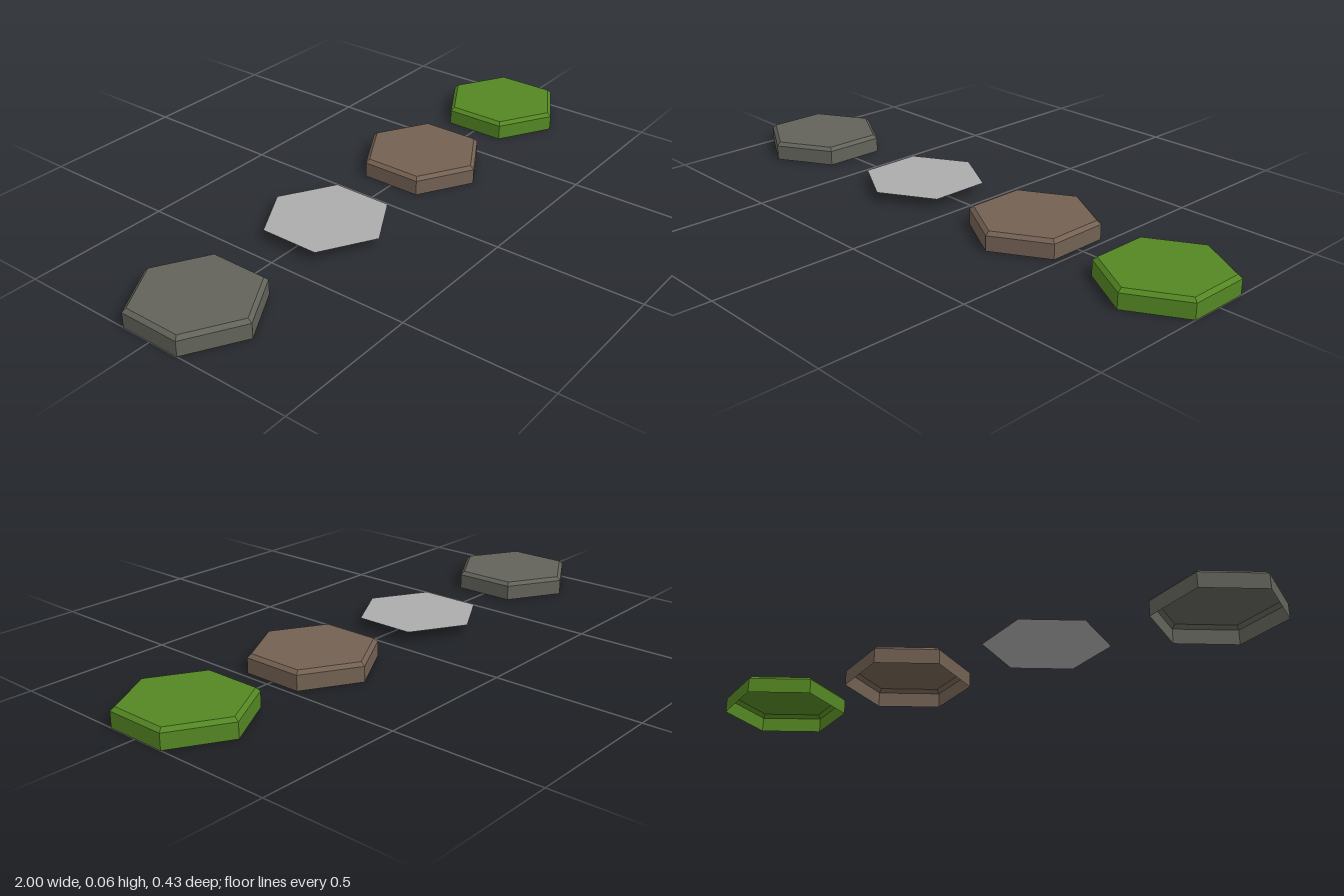
import * as THREE from 'three';

const RADIUS = 0.215, TOP_RADIUS = 0.201;
const WALL_TOP = 0.052, HEIGHT = 0.064;

function flatMaterial(name, color) {
  return new THREE.MeshStandardMaterial({ name, color, flatShading: true, side: THREE.DoubleSide });
}

function addPart(parent, name, geometry, material, y) {
  const mesh = new THREE.Mesh(geometry, material);
  mesh.name = name;
  mesh.position.y = y;
  parent.add(mesh);
}

// Flat hexagon facing up, with corners towards +z and -z
function hexPlate(radius) {
  return new THREE.CircleGeometry(radius, 6, Math.PI / 2).rotateX(-Math.PI / 2);
}

// Hollow hexagonal tile, open underneath, with a bevelled top rim
function hexTile(name, material) {
  const tile = new THREE.Group();
  tile.name = name;
  const bevel = HEIGHT - WALL_TOP;
  addPart(tile, 'wall', new THREE.CylinderGeometry(RADIUS, RADIUS, WALL_TOP, 6, 1, true), material, WALL_TOP / 2);
  addPart(tile, 'bevel', new THREE.CylinderGeometry(TOP_RADIUS, RADIUS, bevel, 6, 1, true), material, WALL_TOP + bevel / 2);
  addPart(tile, 'top', hexPlate(TOP_RADIUS), material, HEIGHT);
  return tile;
}

export function createModel() {
  const model = new THREE.Group();
  model.name = 'hexTiles';

  // Three solid-looking tiles in a row
  const tiles = [
    ['stoneTile', -0.814, flatMaterial('stone', 0x62635a)],
    ['earthTile', 0.293, flatMaterial('earth', 0x736153)],
    ['grassTile', 0.814, flatMaterial('grass', 0x548723)],
  ];
  for (const [name, x, material] of tiles) {
    const tile = hexTile(name, material);
    tile.position.x = x;
    model.add(tile);
  }

  // Thin floating hexagon
  const sheet = new THREE.Group();
  sheet.name = 'flatTile';
  addPart(sheet, 'sheet', hexPlate(0.212), flatMaterial('paleGrey', 0xacacac), 0.037);
  sheet.position.x = -0.235;
  model.add(sheet);

  return model;
}
